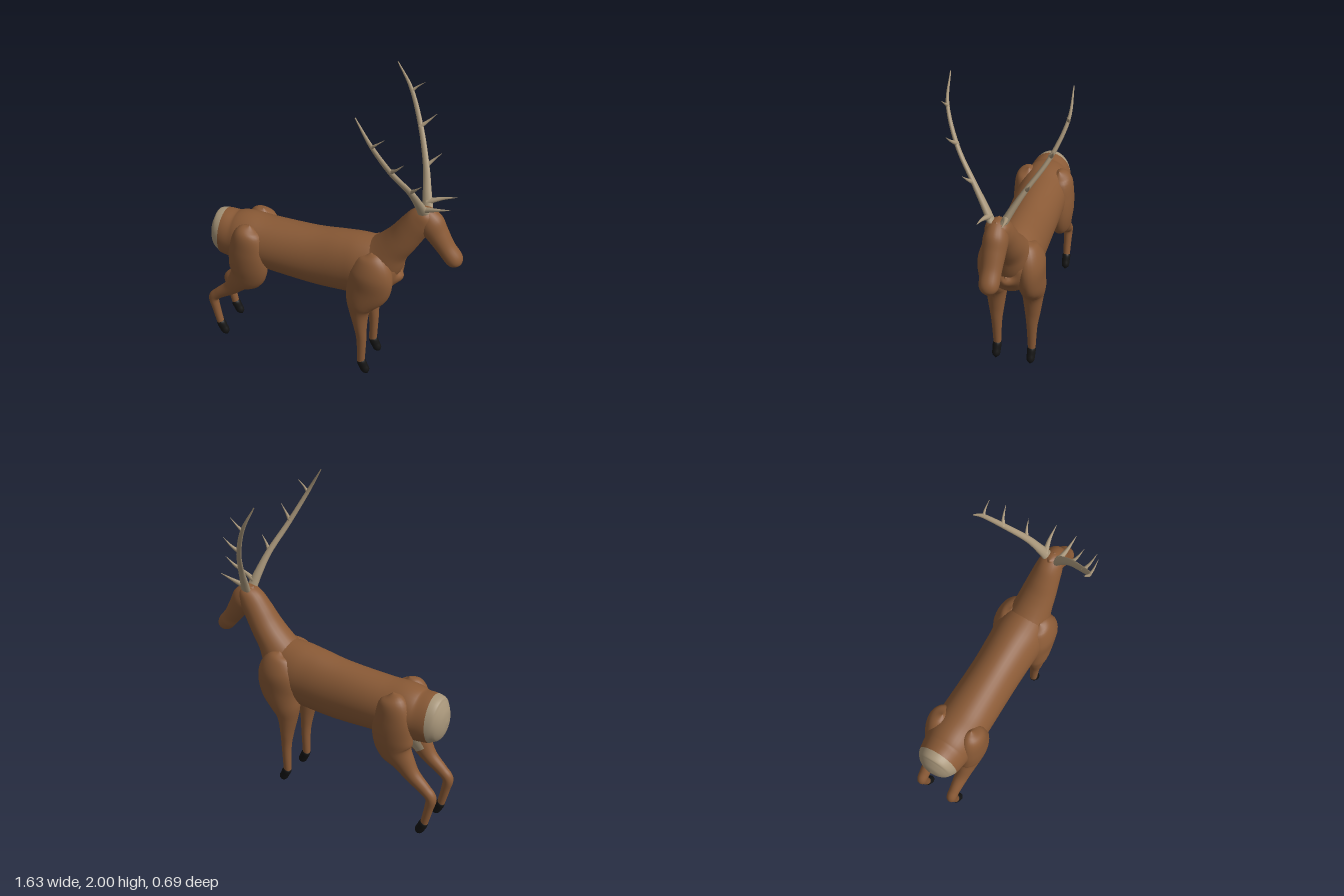
import * as THREE from 'three';

const mat = (name, color) => {
  const m = new THREE.MeshStandardMaterial({ color });
  m.name = name;
  return m;
};

// Smooth skin over elliptical sections [x, y, z, in-plane radius, z radius].
// paint(x, y, cos, sin) picks a material index for each quad.
function loft(name, sections, materials, { steps = 6, sides = 24, paint = () => 0 } = {}) {
  const centre = new THREE.CatmullRomCurve3(
    sections.map(([x, y, z]) => new THREE.Vector3(x, y, z)), false, 'catmullrom', 0.5);
  const radii = new THREE.CatmullRomCurve3(
    sections.map(s => new THREE.Vector3(s[3], s[4] ?? s[3], 0)), false, 'catmullrom', 0.5);
  const rows = (sections.length - 1) * steps;
  const pos = [], faces = materials.map(() => []);
  for (let i = 0; i <= rows; i++) {
    const p = centre.getPoint(i / rows), r = radii.getPoint(i / rows), t = centre.getTangent(i / rows);
    const len = Math.hypot(t.x, t.y) || 1;
    const r1 = Math.max(r.x, 0.0005), r2 = Math.max(r.y, 0.0005);
    for (let j = 0; j < sides; j++) {
      const a = j / sides * Math.PI * 2, c = Math.cos(a) * r1;
      pos.push(p.x - t.y / len * c, p.y + t.x / len * c, p.z + Math.sin(a) * r2);
      if (i === rows) continue;
      const k = (j + 1) % sides, mid = (j + 0.5) / sides * Math.PI * 2;
      const A = i * sides + j, B = i * sides + k;
      faces[paint(p.x, p.y, Math.cos(mid), Math.sin(mid))].push(A, B, A + sides, B, B + sides, A + sides);
    }
  }
  const g = new THREE.BufferGeometry();
  g.setAttribute('position', new THREE.Float32BufferAttribute(pos, 3));
  g.setIndex(faces.flat());
  let start = 0;
  faces.forEach((f, i) => { g.addGroup(start, f.length, i); start += f.length; });
  g.computeVertexNormals();
  const mesh = new THREE.Mesh(g, materials.length > 1 ? materials : materials[0]);
  mesh.name = name;
  return mesh;
}

export function createModel() {
  const model = new THREE.Group();
  model.name = 'deer';
  const brown = mat('brown coat', 0x8a5a36);
  const tan = mat('pale fur and antler', 0xa8967a);
  const black = mat('black hoof', 0x141414);

  // Torso: [x, top, bottom, half width], with pale rump and belly
  const torso = [
    [-0.806, 0.79, 0.78, 0.001], [-0.795, 0.86, 0.71, 0.06], [-0.765, 0.92, 0.65, 0.105],
    [-0.72, 0.943, 0.63, 0.13], [-0.64, 0.94, 0.62, 0.145], [-0.55, 0.958, 0.61, 0.16],
    [-0.4, 0.952, 0.6, 0.16], [-0.1, 0.965, 0.575, 0.155], [0.1, 0.99, 0.582, 0.16],
    [0.22, 1.0, 0.595, 0.165], [0.33, 0.99, 0.61, 0.15], [0.4, 0.94, 0.65, 0.12],
    [0.435, 0.86, 0.72, 0.06], [0.446, 0.8, 0.79, 0.001],
  ].map(([x, top, bot, w]) => [x, (top + bot) / 2, 0, (top - bot) / 2, w]);
  model.add(loft('torso', torso, [brown, tan], {
    sides: 40,
    paint: (x, y, c) => (x < -0.72 || (c < -0.84 && x > -0.45 && x < 0.38) ? 1 : 0),
  }));

  // Neck and head
  model.add(loft('neck', [
    [0.22, 0.8, 0, 0.15, 0.13], [0.31, 0.86, 0, 0.15, 0.135], [0.39, 0.97, 0, 0.108, 0.116],
    [0.45, 1.05, 0, 0.096, 0.105], [0.505, 1.135, 0, 0.09, 0.092], [0.56, 1.215, 0, 0.082, 0.078],
    [0.592, 1.27, 0, 0.05, 0.058], [0.605, 1.3, 0, 0.001],
  ], [brown]));
  model.add(loft('head', [
    [0.54, 1.3, 0, 0.001], [0.56, 1.27, 0, 0.05, 0.045], [0.605, 1.205, 0, 0.082, 0.07],
    [0.655, 1.135, 0, 0.068, 0.067], [0.71, 1.055, 0, 0.055, 0.059], [0.762, 0.99, 0, 0.053, 0.057],
    [0.786, 0.96, 0, 0.036, 0.04], [0.797, 0.943, 0, 0.001],
  ], [brown]));

  for (const s of [1, -1]) {
    const side = s > 0 ? 'near' : 'far';
    const mirror = list => list.map(([x, y, z, ...r]) => [x, y, z * s, ...r]);

    // Front leg with shoulder
    model.add(loft(side + 'FrontLeg', mirror([
      [0.29, 0.965, 0.1, 0.001], [0.295, 0.93, 0.105, 0.08, 0.055], [0.295, 0.83, 0.115, 0.135, 0.084],
      [0.28, 0.71, 0.118, 0.14, 0.08], [0.242, 0.6, 0.118, 0.1, 0.078], [0.23, 0.52, 0.115, 0.066, 0.066],
      [0.237, 0.4, 0.115, 0.042, 0.05], [0.246, 0.28, 0.113, 0.031, 0.034], [0.245, 0.1, 0.112, 0.025, 0.024],
    ]), [brown]));

    // Hind leg with haunch and a pale inner thigh
    model.add(loft(side + 'HindLeg', mirror([
      [-0.5, 0.945, 0.1, 0.001], [-0.51, 0.9, 0.115, 0.08, 0.06], [-0.515, 0.78, 0.12, 0.12, 0.075],
      [-0.515, 0.66, 0.12, 0.13, 0.076], [-0.535, 0.57, 0.115, 0.118, 0.07], [-0.59, 0.5, 0.113, 0.076, 0.058],
      [-0.655, 0.42, 0.112, 0.05, 0.045], [-0.74, 0.35, 0.112, 0.037, 0.035], [-0.785, 0.3, 0.112, 0.034, 0.032],
      [-0.775, 0.22, 0.112, 0.028, 0.027], [-0.75, 0.1, 0.112, 0.024, 0.023],
    ]), [brown, tan], {
      paint: (x, y, c, n) => (n * s < -0.88 && y > 0.48 && y < 0.62 ? 1 : 0),
    }));

    // Hooves
    for (const [name, x] of [['FrontHoof', 0.245], ['HindHoof', -0.75]]) {
      model.add(loft(side + name, mirror([
        [x - 0.005, 0.112, 0.112, 0.002], [x, 0.102, 0.112, 0.027, 0.026], [x + 0.018, 0.06, 0.112, 0.029, 0.027],
        [x + 0.035, 0.026, 0.112, 0.025, 0.024], [x + 0.046, 0.004, 0.112, 0.001],
      ]), [black], { sides: 16 }));
    }

    // Antler: swept beam with forward tines
    const antler = new THREE.Group();
    antler.name = side + 'Antler';
    antler.add(loft('beam', mirror([
      [0.575, 1.28, 0.035, 0.034, 0.024], [0.555, 1.36, 0.075, 0.027, 0.022], [0.52, 1.48, 0.145, 0.02, 0.017],
      [0.445, 1.65, 0.255, 0.016, 0.014], [0.355, 1.84, 0.33, 0.012, 0.01], [0.264, 1.998, 0.336, 0.003],
    ]), [tan], { sides: 12 }));
    const tines = [
      [[0.57, 1.31, 0.045], [0.65, 1.34, 0.062], [0.737, 1.365, 0.068], 0.02],
      [[0.52, 1.48, 0.145], [0.555, 1.515, 0.168], [0.598, 1.56, 0.183], 0.015],
      [[0.44, 1.66, 0.258], [0.48, 1.695, 0.278], [0.525, 1.742, 0.29], 0.014],
      [[0.355, 1.835, 0.329], [0.385, 1.863, 0.337], [0.43, 1.9, 0.337], 0.011],
    ];
    for (const [a, b, c, r] of tines) {
      antler.add(loft('tine', mirror([[...a, r], [...b, r * 0.5], [...c, 0.001]]), [tan], { sides: 8 }));
    }
    model.add(antler);
  }
  return model;
}
